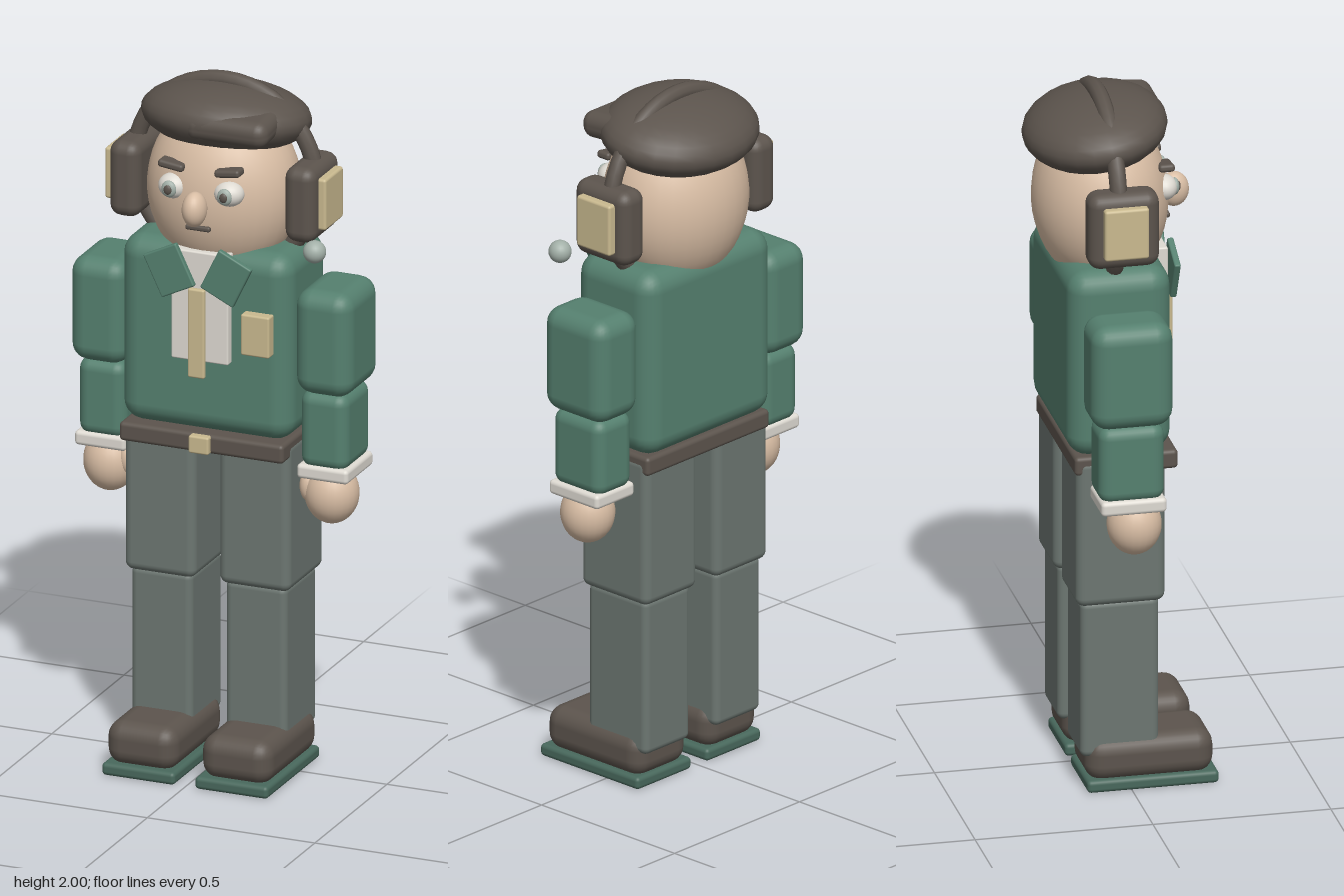
import * as THREE from 'three';
import { RoundedBoxGeometry } from 'three/addons/geometries/RoundedBoxGeometry.js';

const mat = (color) => new THREE.MeshStandardMaterial({ color });
const teal = mat(0x55806f), trouser = mat(0x6c7671), dark = mat(0x5c544d), skin = mat(0xd8bda4);
const white = mat(0xdedad2), khaki = mat(0xc9b98f), grey = mat(0xa3b0a8), sole = mat(0x48685c);

export function createModel() {
  const model = new THREE.Group();

  const add = (name, geometry, material, x, y, z) => {
    const mesh = new THREE.Mesh(geometry, material);
    mesh.name = name;
    mesh.position.set(x, y, z);
    model.add(mesh);
    return mesh;
  };
  // Rounded box given by its extents on each axis
  const box = (name, material, [x0, x1], [y0, y1], [z0, z1], radius = 0.01) =>
    add(name, new RoundedBoxGeometry(x1 - x0, y1 - y0, z1 - z0, 3, radius), material,
      (x0 + x1) / 2, (y0 + y1) / 2, (z0 + z1) / 2);
  const ball = (name, material, [x, y, z], [rx, ry, rz], segments = 24) =>
    add(name, new THREE.SphereGeometry(1, segments, Math.ceil(segments * 0.7)).scale(rx, ry, rz), material, x, y, z);

  // Torso and belt
  box('jacket', teal, [-0.255, 0.255], [0.99, 1.535], [-0.175, 0.115], 0.06);
  box('belt', dark, [-0.245, 0.245], [0.94, 0.995], [-0.16, 0.13], 0.012);
  box('buckle', khaki, [-0.03, 0.03], [0.942, 0.993], [0.11, 0.148], 0.006);

  // Shirt front, tie and pocket
  box('shirtFront', white, [-0.085, 0.085], [1.21, 1.53], [0.1, 0.138], 0.005);
  box('tie', khaki, [-0.025, 0.025], [1.17, 1.43], [0.148, 0.165], 0.006);
  box('pocket', khaki, [0.125, 0.21], [1.25, 1.37], [0.105, 0.145], 0.006);

  // Head and face
  ball('head', skin, [0, 1.67, -0.035], [0.217, 0.25, 0.188], 32);
  ball('nose', skin, [0, 1.668, 0.173], [0.034, 0.05, 0.042]);
  box('mouth', dark, [-0.037, 0.037], [1.597, 1.612], [0.125, 0.155], 0.006);

  // Beret with its front fold
  ball('beret', dark, [0, 1.873, -0.05], [0.242, 0.098, 0.2], 24).rotation.x = -0.15;
  box('beretFold', dark, [-0.052, 0.197], [1.855, 1.933], [-0.02, 0.147], 0.035).rotation.x = 0.08;

  // Headset band and microphone
  add('headsetBand', new THREE.TorusGeometry(0.271, 0.024, 10, 48), dark, 0, 1.705, -0.042);
  ball('microphone', grey, [0.325, 1.565, 0.095], [0.032, 0.032, 0.032]);

  // Paired parts
  for (const s of [-1, 1]) {
    const side = s > 0 ? 'left' : 'right';
    const pair = (name, material, [x0, x1], ys, zs, radius) =>
      box(side + name, material, s > 0 ? [x0, x1] : [-x1, -x0], ys, zs, radius);

    // Collar flap
    pair('Collar', teal, [0.031, 0.139], [1.405, 1.535], [0.139, 0.157], 0.005).rotation.z = -s * 0.45;

    // Arm
    pair('UpperArm', teal, [0.25, 0.42], [1.13, 1.435], [-0.147, 0.083], 0.05);
    pair('Forearm', teal, [0.26, 0.402], [0.91, 1.135], [-0.125, 0.06], 0.035);
    pair('Cuff', white, [0.255, 0.408], [0.88, 0.922], [-0.122, 0.062], 0.012);
    ball(side + 'Hand', skin, [s * 0.33, 0.825, -0.014], [0.076, 0.087, 0.076]);
    ball(side + 'Thumb', skin, [s * 0.27, 0.845, 0.01], [0.024, 0.045, 0.028], 16);

    // Leg and shoe
    pair('Thigh', trouser, [0.035, 0.247], [0.55, 0.985], [-0.155, 0.095], 0.025);
    pair('Shin', trouser, [0.05, 0.232], [0.1, 0.56], [-0.14, 0.08], 0.02);
    pair('Shoe', dark, [0.036, 0.246], [0.025, 0.153], [-0.125, 0.235], 0.048);
    pair('Sole', sole, [0.03, 0.248], [0, 0.036], [-0.125, 0.245], 0.012);

    // Eye and brow
    ball(side + 'Eye', white, [s * 0.083, 1.71, 0.125], [0.043, 0.036, 0.038]);
    ball(side + 'Iris', grey, [s * 0.083, 1.71, 0.157], [0.022, 0.024, 0.012], 16);
    ball(side + 'Pupil', dark, [s * 0.083, 1.71, 0.166], [0.012, 0.014, 0.007], 16);
    pair('Brow', dark, [0.046, 0.122], [1.762, 1.784], [0.105, 0.15], 0.009).rotation.z = s * 0.13;

    // Ear cup with its outer plate
    pair('EarCup', dark, [0.215, 0.308], [1.565, 1.785], [-0.132, 0.068], 0.035);
    pair('EarPlate', khaki, [0.295, 0.33], [1.603, 1.752], [-0.095, 0.03], 0.008);
  }
  return model;
}
